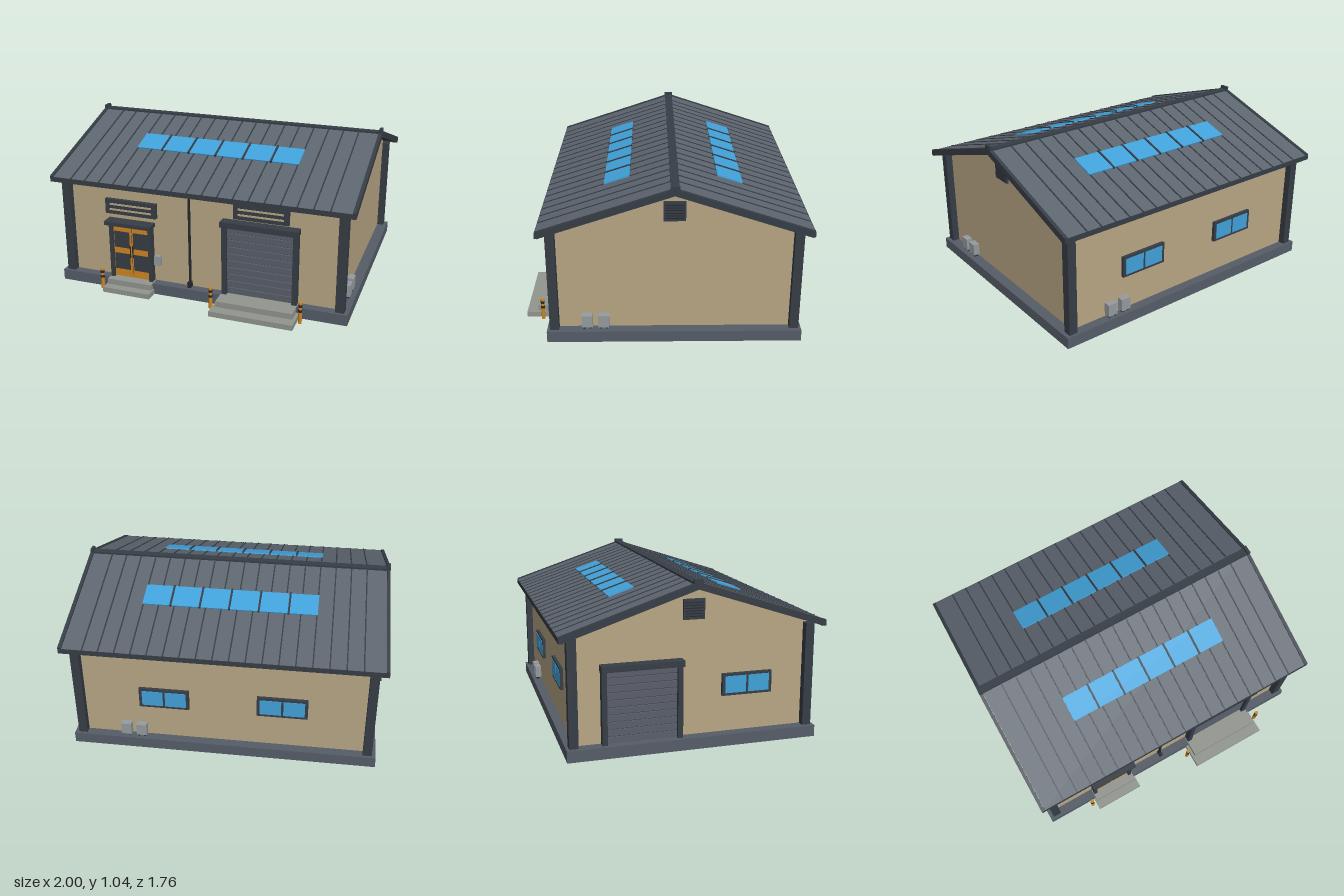
import * as THREE from 'three';

const mat = (name, color) => Object.assign(new THREE.MeshStandardMaterial({ color }), { name });

export function createModel() {
  const M = {
    wall: mat('tan wall', 0xb8a684),
    roof: mat('roof metal', 0x5d656f),
    trim: mat('dark trim', 0x363d45),
    base: mat('slate base', 0x565d68),
    slat: mat('shutter grey', 0x5a5e6a),
    concrete: mat('concrete', 0x92968f),
    cabinet: mat('cabinet grey', 0x959b9f),
    orange: mat('orange paint', 0xd08720),
    glass: mat('blue glass', 0x41a2da),
    black: mat('black', 0x24282d),
  };
  const root = new THREE.Group();
  root.name = 'workshop';

  // Box given by its low and high bounds on each axis
  const box = (parent, name, m, x0, x1, y0, y1, z0, z1) => {
    const mesh = new THREE.Mesh(new THREE.BoxGeometry(x1 - x0, y1 - y0, z1 - z0), m);
    mesh.position.set((x0 + x1) / 2, (y0 + y1) / 2, (z0 + z1) / 2);
    mesh.name = name;
    parent.add(mesh);
    return mesh;
  };
  const group = (name, parent = root) => {
    const g = new THREE.Group();
    g.name = name;
    parent.add(g);
    return g;
  };
  // Group lying on a wall: local z = 0 is the wall face, +z points outwards
  const MID = -0.065, WX = 0.905, WZ = 0.72;
  const onWall = (name, side, along = 0) => {
    const g = group(name);
    if (side === 'front') g.position.set(along, 0, MID + WZ);
    if (side === 'back') { g.position.set(along, 0, MID - WZ); g.rotation.y = Math.PI; }
    if (side === 'right') { g.position.set(WX, 0, along); g.rotation.y = Math.PI / 2; }
    if (side === 'left') { g.position.set(-WX, 0, along); g.rotation.y = -Math.PI / 2; }
    return g;
  };

  // Foundation and gabled body
  box(root, 'foundation', M.base, -0.975, 0.975, 0, 0.072, MID - 0.78, MID + 0.78);
  const s = new THREE.Shape();
  s.moveTo(-WZ, 0.07);
  s.lineTo(WZ, 0.07);
  s.lineTo(WZ, 0.748);
  s.lineTo(0, 0.986);
  s.lineTo(-WZ, 0.748);
  const body = new THREE.Mesh(new THREE.ExtrudeGeometry(s, { depth: 2 * WX, bevelEnabled: false }), M.wall);
  body.rotation.y = Math.PI / 2;
  body.position.set(-WX, 0, MID);
  body.name = 'walls';
  root.add(body);

  // Corner posts
  for (const x of [-0.922, 0.922]) for (const z of [MID - 0.735, MID + 0.735])
    box(root, 'cornerPost', M.trim, x - 0.028, x + 0.028, 0.072, 0.725, z - 0.028, z + 0.028);

  // Roof: two equal slopes with seams and skylights
  const pitch = Math.atan(0.33), LEN = 0.855;
  for (const turn of [0, Math.PI]) {
    const side = group('roofSide');
    side.position.set(0, 1.015, MID);
    side.rotation.y = turn;
    const slope = group('roofSlope', side);
    slope.rotation.x = pitch;
    box(slope, 'roofSheet', M.roof, -0.978, 0.978, -0.012, 0, 0, LEN);
    box(slope, 'roofUnderside', M.trim, -0.978, 0.978, -0.03, -0.012, 0, LEN - 0.01);
    for (let i = 0; i < 18; i++) {
      const x = -0.85 + i * 0.1;
      box(slope, 'roofSeam', M.trim, x - 0.004, x + 0.004, -0.004, 0.004, 0.02, LEN);
    }
    for (const x of [-0.99, 0.99])
      box(slope, 'bargeBoard', M.trim, x - 0.012, x + 0.01, -0.035, 0.006, 0, LEN);
    box(slope, 'skylight', M.glass, -0.555, 0.555, 0, 0.008, 0.285, 0.452);
    for (let i = -2; i <= 2; i++)
      box(slope, 'skylightBar', M.trim, i * 0.187 - 0.006, i * 0.187 + 0.006, 0, 0.014, 0.28, 0.457);
    box(side, 'eaveGutter', M.trim, -1, 1, -0.3, -0.268, 0.788, 0.815);
  }
  box(root, 'ridgeCap', M.trim, -0.99, 0.99, 0.99, 1.018, MID - 0.026, MID + 0.026);
  for (const x of [-0.99, 0.99])
    box(root, 'ridgeEnd', M.trim, x - 0.01, x + 0.01, 0.995, 1.036, MID - 0.029, MID + 0.029);

  // Gable louvres
  for (const side of ['left', 'right']) {
    const g = onWall('gableVent', side, MID);
    box(g, 'ventFrame', M.trim, -0.066, 0.066, 0.787, 0.91, 0, 0.015);
    for (let i = 0; i < 6; i++) {
      const y = 0.803 + i * 0.0165;
      box(g, 'ventGap', M.black, -0.055, 0.055, y, y + 0.005, 0.01, 0.018);
    }
  }

  // Roller shutters
  const shutter = (side, along, top) => {
    const g = onWall('rollerShutter', side, along);
    for (const x of [-0.23, 0.23])
      box(g, 'shutterPost', M.trim, x - 0.016, x + 0.016, 0.072, top, 0, 0.045);
    box(g, 'shutterHeader', M.trim, -0.25, 0.25, top, top + 0.036, 0, 0.068);
    box(g, 'shutterBacking', M.trim, -0.215, 0.215, 0.072, top, 0, 0.012);
    const n = 10, step = (top - 0.072) / n;
    for (let i = 0; i < n; i++)
      box(g, 'shutterSlat', M.slat, -0.214, 0.214, 0.075 + i * step, 0.068 + (i + 1) * step, 0, 0.024);
  };
  shutter('front', 0.405, 0.54);
  shutter('left', -0.385, 0.52);

  // Double entrance door
  const door = onWall('entranceDoor', 'front', -0.472);
  for (const k of [-1, 1]) {
    box(door, 'doorPost', M.trim, k * 0.138 - 0.012, k * 0.138 + 0.012, 0.072, 0.455, 0, 0.045);
    box(door, 'doorLeaf', M.orange, k * 0.065 - 0.061, k * 0.065 + 0.061, 0.075, 0.455, 0, 0.025);
    for (const y of [0.13, 0.285])
      box(door, 'doorPanel', M.trim, k * 0.067 - 0.053, k * 0.067 + 0.053, y, y + 0.112, 0.022, 0.031);
    box(door, 'doorHandle', M.black, k * 0.009 - 0.002, k * 0.009 + 0.002, 0.22, 0.3, 0.022, 0.034);
  }
  box(door, 'doorGap', M.trim, -0.005, 0.005, 0.075, 0.455, 0, 0.015);
  box(door, 'doorCanopy', M.trim, -0.162, 0.162, 0.455, 0.48, 0, 0.085);

  // Slotted panels above the openings
  for (const [x, y] of [[-0.47, 0.565], [0.408, 0.64]]) {
    const g = onWall('slottedPanel', 'front', x);
    box(g, 'panelPlate', M.trim, -0.178, 0.178, y - 0.05, y + 0.05, 0, 0.025);
    for (const d of [-0.018, 0.018])
      box(g, 'panelSlot', M.wall, -0.146, 0.146, y + d - 0.006, y + d + 0.006, 0.022, 0.029);
  }

  // Windows
  for (const [side, along] of [['back', -0.375], ['back', 0.375], ['left', 0.275]]) {
    const g = onWall('window', side, along);
    box(g, 'windowFrame', M.trim, -0.16, 0.16, 0.302, 0.44, 0, 0.02);
    for (const x of [-0.074, 0.074])
      box(g, 'windowPane', M.glass, x - 0.067, x + 0.067, 0.318, 0.424, 0.016, 0.023);
  }

  // Utility cabinets on feet
  for (const [side, along] of [['right', 0.468], ['right', 0.368], ['back', 0.63], ['back', 0.53]]) {
    const g = onWall('cabinet', side, along);
    box(g, 'cabinetBody', M.cabinet, -0.033, 0.033, 0.085, 0.165, 0, 0.042);
    for (const x of [-0.02, 0.02])
      box(g, 'cabinetFoot', M.black, x - 0.005, x + 0.005, 0.07, 0.086, 0.01, 0.035);
  }
  box(onWall('wallBox', 'front', -0.292), 'wallBoxBody', M.cabinet, -0.023, 0.023, 0.19, 0.255, 0, 0.025);

  // Downpipe
  const pipe = onWall('downpipe', 'front', -0.067);
  box(pipe, 'pipe', M.black, -0.006, 0.006, 0.075, 0.72, 0.005, 0.02);
  box(pipe, 'pipeFoot', M.black, -0.011, 0.011, 0.072, 0.11, 0, 0.04);
  box(pipe, 'pipeBracket', M.black, -0.009, 0.009, 0.69, 0.7, 0, 0.024);

  // Entrance steps
  box(root, 'doorStepLower', M.concrete, -0.636, -0.305, 0, 0.035, 0.7, 0.8);
  box(root, 'doorStepUpper', M.concrete, -0.626, -0.315, 0.035, 0.073, 0.66, 0.745);
  box(root, 'rampStepLower', M.concrete, 0.135, 0.675, 0, 0.035, 0.7, 0.878);
  box(root, 'rampStepUpper', M.concrete, 0.155, 0.655, 0.035, 0.073, 0.66, 0.808);

  // Striped bollards
  for (const [x, z] of [[-0.664, 0.744], [0.111, 0.772], [0.695, 0.772]]) {
    const g = group('bollard');
    g.position.set(x, 0, z);
    for (const [m, r, y0, y1] of [[M.orange, 0.012, 0, 0.143], [M.black, 0.0128, 0.078, 0.095], [M.black, 0.0128, 0.112, 0.129]]) {
      const c = new THREE.Mesh(new THREE.CylinderGeometry(r, r, y1 - y0, 12), m);
      c.position.y = (y0 + y1) / 2;
      c.name = m === M.orange ? 'bollardPost' : 'bollardStripe';
      g.add(c);
    }
  }
  return root;
}
